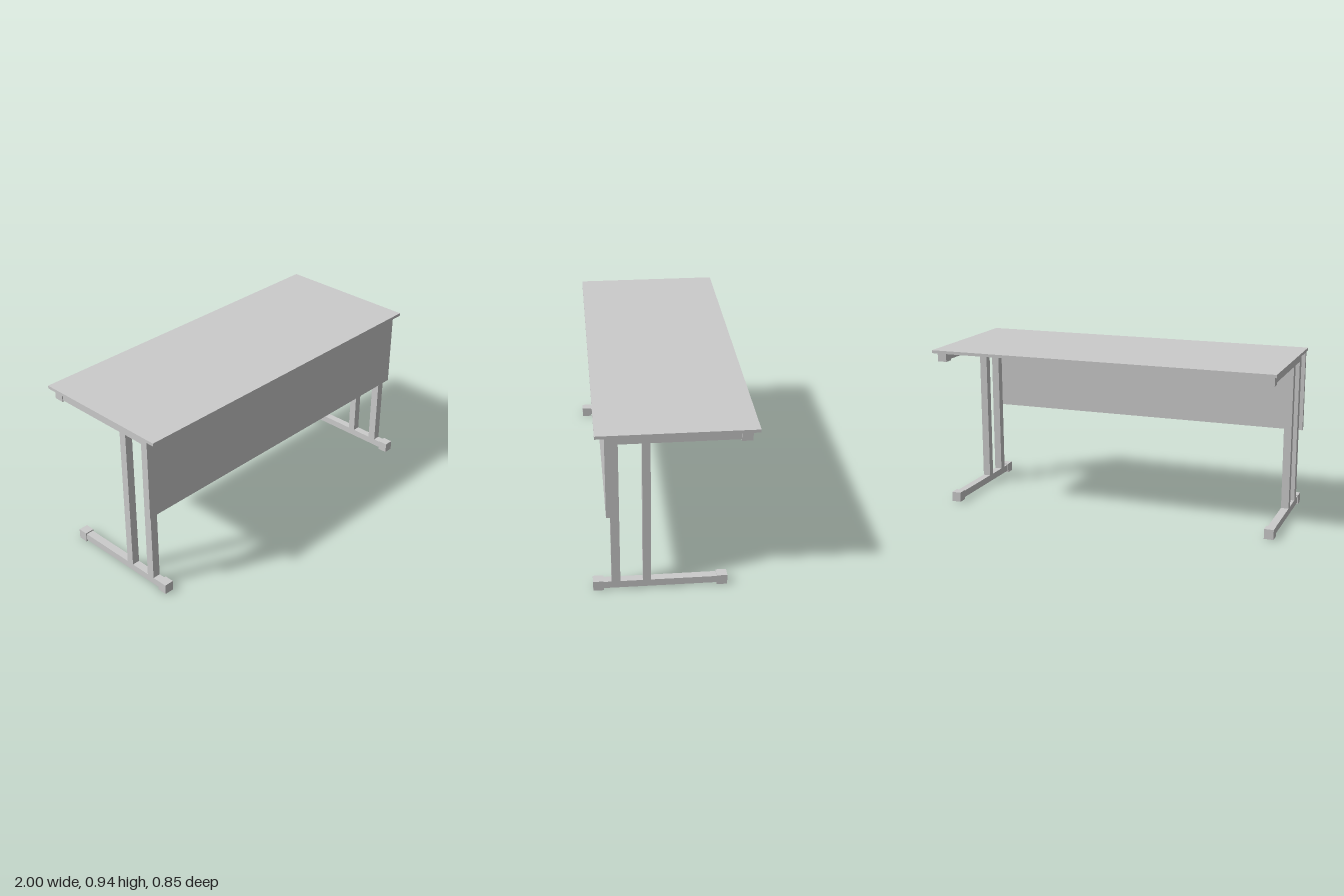
import * as THREE from 'three';

const material = new THREE.MeshStandardMaterial({ color: 0xcccccc, flatShading: true });

// Box given by its [min, max] extent on each axis
function box(name, [x0, x1], [y0, y1], [z0, z1]) {
  const mesh = new THREE.Mesh(new THREE.BoxGeometry(x1 - x0, y1 - y0, z1 - z0), material);
  mesh.position.set((x0 + x1) / 2, (y0 + y1) / 2, (z0 + z1) / 2);
  mesh.name = name;
  return mesh;
}

// Leg frame: foot rail, two posts, top rail and end caps
function legFrame(name, centreX) {
  const frame = new THREE.Group();
  frame.name = name;
  const tube = [-0.022, 0.022];
  const cap = [-0.027, 0.027];
  frame.add(
    box('footRail', tube, [0.01, 0.05], [-0.228, 0.37]),
    box('frontFootCap', cap, [0, 0.057], [0.37, 0.426]),
    box('backFootCap', cap, [0, 0.057], [-0.285, -0.228]),
    box('frontPost', tube, [0.05, 0.882], [0.282, 0.328]),
    box('backPost', tube, [0.05, 0.882], [0.12, 0.163]),
    box('topRail', tube, [0.882, 0.928], [-0.333, 0.328]),
    box('topRailCap', cap, [0.875, 0.928], [-0.39, -0.333])
  );
  frame.position.x = centreX;
  return frame;
}

export function createModel() {
  const desk = new THREE.Group();
  desk.name = 'desk';
  desk.add(
    box('desktop', [-1, 1], [0.928, 0.945], [-0.425, 0.398]),
    box('modestyPanel', [-1, 1], [0.468, 0.928], [0.328, 0.35]),
    legFrame('leftLegFrame', 0.956),
    legFrame('rightLegFrame', -0.956)
  );
  return desk;
}
